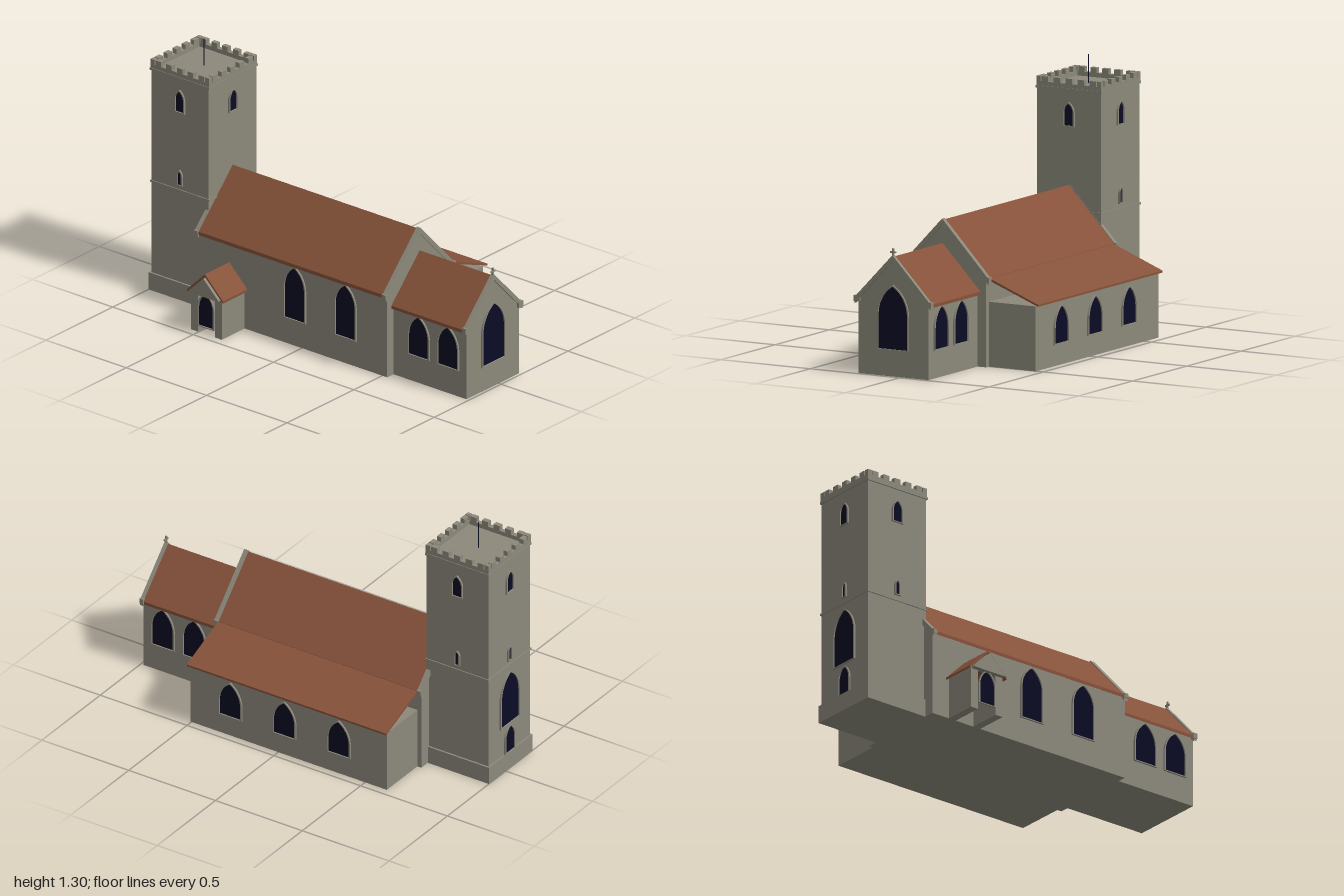
import * as THREE from 'three';

const mat = (name, color, side = THREE.FrontSide) => {
  const m = new THREE.MeshStandardMaterial({ color, side });
  m.name = name;
  return m;
};

export function createModel() {
  const stone = mat('stone', 0x8c897b);
  const tile = mat('roof tile', 0x86523a);
  const glass = mat('dark glass', 0x0b0b24, THREE.DoubleSide);
  const church = new THREE.Group();
  church.name = 'church';
  // everything is laid out around the shared ridge line
  church.position.z = 0.044;

  const add = (name, geo, material, parent = church) => {
    const m = new THREE.Mesh(geo, material);
    m.name = name;
    parent.add(m);
    return m;
  };
  // box given by its limits
  const box = (name, x0, x1, y0, y1, z0, z1, material = stone) =>
    add(name, new THREE.BoxGeometry(x1 - x0, y1 - y0, z1 - z0), material)
      .position.set((x0 + x1) / 2, (y0 + y1) / 2, (z0 + z1) / 2);
  const poly = pts => new THREE.Shape(pts.map(p => new THREE.Vector2(...p)));
  const extrude = (shape, depth) =>
    new THREE.ExtrudeGeometry(shape, { depth, bevelEnabled: false, curveSegments: 8 });
  // cross-section (-z, y) swept along x
  const alongX = (name, pts, x0, x1, material) => {
    const g = extrude(poly(pts), x1 - x0).rotateY(Math.PI / 2);
    return add(name, g.translate(x0, 0, 0), material);
  };
  const house = (half, eave, ridge, base = 0) =>
    [[-half, base], [half, base], [half, eave], [0, ridge], [-half, eave]];
  const chevron = (half, eave, ridge, t) =>
    [[-half, eave - t], [0, ridge - t], [half, eave - t], [half, eave], [0, ridge], [-half, eave]];

  // pointed arch outline standing on y = base
  const arch = (P, w, h, base = 0) => {
    const r = w / 2, spring = h - w * 0.866;
    const p = new P();
    p.moveTo(-r, base);
    p.lineTo(r, base);
    p.lineTo(r, spring);
    p.absarc(-r, spring, w, 0, Math.PI / 3, false);
    p.absarc(r, spring, w, Math.PI * 2 / 3, Math.PI, false);
    p.closePath();
    return p;
  };
  const opening = (name, w, h, x, y, z, turn = 0) => {
    const g = new THREE.Group();
    g.name = name;
    const t = 0.008;
    const ring = arch(THREE.Shape, w + 2 * t, h + t, -t * 0.6);
    ring.holes.push(arch(THREE.Path, w, h));
    add('surround', extrude(ring, 0.009), stone, g);
    add('pane', new THREE.ShapeGeometry(arch(THREE.Shape, w, h), 8), glass, g).position.z = 0.002;
    g.position.set(x, y, z);
    g.rotation.y = turn;
    church.add(g);
  };
  const EAST = Math.PI / 2, NORTH = Math.PI, WEST = -Math.PI / 2;

  // tower
  const tx = -0.8125, th = 0.181;
  const band = (name, half, y0, y1) => box(name, tx - half, tx + half, y0, y1, -half, half);
  box('towerPlinth', -1, -0.635, 0, 0.09, -0.188, 0.188);
  band('towerBody', 0.178, 0, 1.16);
  band('lowerStringCourse', 0.183, 0.565, 0.575);
  band('upperStringCourse', 0.184, 1.153, 1.164);
  for (let i = 0; i < 4; i++) {
    const side = new THREE.Group();
    side.name = 'parapetSide';
    side.position.x = tx;
    side.rotation.y = i * Math.PI / 2;
    church.add(side);
    const block = (name, x, w, y0, y1) =>
      add(name, new THREE.BoxGeometry(w, y1 - y0, 0.024), stone, side)
        .position.set(x, (y0 + y1) / 2, th - 0.012);
    block('parapet', 0, th * 2, 1.16, 1.185);
    for (let k = -2; k <= 2; k++) block('merlon', k * 0.067, 0.035, 1.185, 1.21);
    block('cornerMerlon', th - 0.012, 0.024, 1.185, 1.21);
  }
  add('flagpole', new THREE.CylinderGeometry(0.0025, 0.0025, 0.145, 8), glass).position.set(tx, 1.232, 0);
  // belfry openings on all faces, slits on the outer three
  const tf = 0.178;
  const faces = [[0, tf, 0], [tf, 0, EAST], [0, -tf, NORTH], [-tf, 0, WEST]];
  for (const [dx, dz, turn] of faces) {
    opening('belfryWindow', 0.05, 0.107, tx + dx, 0.983, dz, turn);
    if (turn !== EAST) opening('slitWindow', 0.02, 0.07, tx + dx, 0.6, dz, turn);
  }
  opening('westWindow', 0.15, 0.28, tx - tf, 0.25, 0, WEST);
  opening('westDoor', 0.075, 0.14, tx - tf, 0.09, 0, WEST);

  // nave with gable copings and kneelers
  alongX('naveBody', house(0.243, 0.42, 0.675), -0.648, 0.53, stone);
  alongX('naveRoof', chevron(0.255, 0.432, 0.695, 0.018), -0.633, 0.515, tile);
  for (const [x0, x1] of [[-0.656, -0.633], [0.512, 0.536]]) {
    alongX('naveCoping', chevron(0.26, 0.43, 0.702, 0.032), x0, x1, stone);
    for (const s of [-1, 1]) box('naveKneeler', x0, x1, 0.415, 0.437, s * 0.253 - 0.011, s * 0.253 + 0.011);
  }
  for (const x of [-0.042, 0.273]) opening('naveWindow', 0.122, 0.27, x, 0.138, 0.243);

  // chancel
  alongX('chancelBody', house(0.196, 0.36, 0.562), 0.52, 0.985, stone);
  alongX('chancelRoof', chevron(0.211, 0.365, 0.582, 0.016), 0.53, 0.98, tile);
  alongX('chancelCoping', chevron(0.212, 0.37, 0.59, 0.03), 0.975, 0.994, stone);
  for (const s of [-1, 1]) {
    box('chancelKneeler', 0.973, 0.995, 0.35, 0.378, s * 0.2 - 0.017, s * 0.2 + 0.017);
    for (const x of [0.69, 0.872])
      opening('chancelWindow', 0.12, 0.205, x, 0.14, s * 0.196, s > 0 ? 0 : NORTH);
  }
  opening('eastWindow', 0.162, 0.305, 0.985, 0.132, 0, EAST);
  box('crossUpright', 0.982, 0.99, 0.575, 0.622, -0.004, 0.004);
  box('crossArm', 0.982, 0.99, 0.6, 0.608, -0.015, 0.015);

  // north aisle under a lean-to roof
  box('aisleBody', -0.625, 0.505, 0, 0.315, -0.505, -0.23);
  alongX('aisleRoof', [[0.235, 0.426], [0.524, 0.316], [0.524, 0.326], [0.235, 0.438]], -0.633, 0.515, tile);
  for (const x of [-0.35, -0.037, 0.275]) opening('aisleWindow', 0.12, 0.18, x, 0.108, -0.505, NORTH);

  // south porch
  const px = -0.452;
  for (const s of [-1, 1]) {
    const c = px + s * 0.075;
    box('porchWall', c - 0.021, c + 0.021, 0, 0.212, 0.235, 0.414);
  }
  const acrossPorch = (name, pts, z0, z1, material) =>
    add(name, extrude(poly(pts), z1 - z0), material).position.set(px, 0, z0);
  acrossPorch('porchGable', house(0.092, 0.212, 0.302, 0.205), 0.4, 0.438, stone);
  acrossPorch('porchRoof', chevron(0.112, 0.21, 0.32, 0.012), 0.236, 0.426, tile);
  opening('porchDoor', 0.09, 0.17, px, 0.04, 0.412);

  return church;
}
